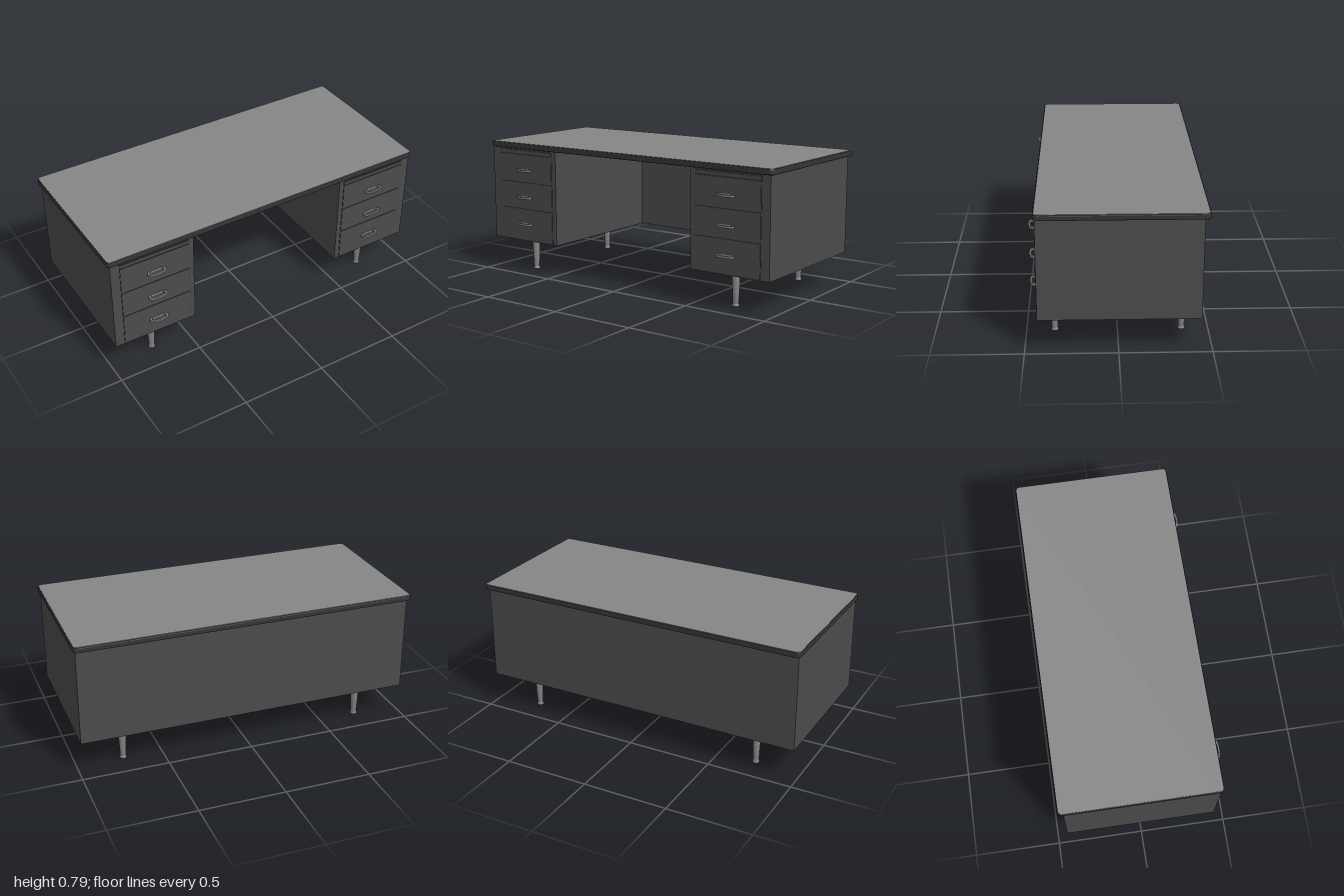
import * as THREE from 'three';

const mat = (name, color) => new THREE.MeshStandardMaterial({ name, color });

// rounded rectangle outline centred on the origin
function roundedRect(w, d, r) {
  const s = new THREE.Shape();
  const x = w / 2 - r, y = d / 2 - r;
  s.absarc(x, y, r, 0, Math.PI / 2);
  s.absarc(-x, y, r, Math.PI / 2, Math.PI);
  s.absarc(-x, -y, r, Math.PI, Math.PI * 1.5);
  s.absarc(x, -y, r, Math.PI * 1.5, Math.PI * 2);
  s.closePath();
  return s;
}

export function createModel() {
  const desk = new THREE.Group();
  desk.name = 'desk';
  const body = mat('charcoal body', 0x4b4b4b);
  const trim = mat('dark trim', 0x343434);
  const surface = mat('grey desktop', 0x868686);
  const metal = mat('brushed metal', 0x808080);

  const add = (name, geo, m, parent = desk) => {
    const mesh = new THREE.Mesh(geo, m);
    mesh.name = name;
    parent.add(mesh);
    return mesh;
  };
  // box given by its minimum and maximum on each axis
  const box = (name, m, x0, x1, y0, y1, z0, z1, parent) => {
    const b = add(name, new THREE.BoxGeometry(x1 - x0, y1 - y0, z1 - z0), m, parent);
    b.position.set((x0 + x1) / 2, (y0 + y1) / 2, (z0 + z1) / 2);
    return b;
  };

  // desktop: dark bevelled edge with a thin lighter surface
  const slab = new THREE.ExtrudeGeometry(roundedRect(1.988, 0.898, 0.018), {
    depth: 0.02, bevelThickness: 0.006, bevelSize: 0.006, bevelSegments: 2, curveSegments: 5,
  });
  slab.rotateX(-Math.PI / 2).translate(0, 0.762, -0.015);
  add('desktopEdge', slab, trim);
  const sheet = new THREE.ExtrudeGeometry(roundedRect(1.99, 0.9, 0.019), {
    depth: 0.003, bevelEnabled: false, curveSegments: 5,
  });
  sheet.rotateX(-Math.PI / 2).translate(0, 0.787, -0.015);
  add('desktopSurface', sheet, surface);

  // full-width back panel
  box('backPanel', body, -0.985, 0.985, 0.19, 0.758, -0.44, -0.42);

  // bow handle outline, bulging forward, with a finger opening
  const bow = new THREE.Shape();
  bow.moveTo(-0.045, 0);
  bow.bezierCurveTo(-0.06, 0.012, -0.06, 0.028, -0.043, 0.035);
  bow.quadraticCurveTo(0, 0.046, 0.043, 0.035);
  bow.bezierCurveTo(0.06, 0.028, 0.06, 0.012, 0.045, 0);
  bow.closePath();
  const opening = new THREE.Path();
  opening.moveTo(-0.036, 0.003);
  opening.lineTo(0.036, 0.003);
  opening.quadraticCurveTo(0.052, 0.024, 0.034, 0.027);
  opening.quadraticCurveTo(0, 0.034, -0.034, 0.027);
  opening.quadraticCurveTo(-0.052, 0.024, -0.036, 0.003);
  bow.holes.push(opening);
  const handleGeo = new THREE.ExtrudeGeometry(bow, {
    depth: 0.008, bevelThickness: 0.002, bevelSize: 0.001, bevelSegments: 1, curveSegments: 8,
  });
  handleGeo.rotateX(Math.PI / 2).translate(0, 0.004, 0);

  // turned leg with a small foot
  const legGeo = new THREE.LatheGeometry([
    [0, 0], [0.016, 0], [0.02, 0.003], [0.02, 0.011], [0.016, 0.014],
    [0.0165, 0.02], [0.024, 0.185], [0, 0.185],
  ].map(([x, y]) => new THREE.Vector2(x, y)), 16);

  for (const side of [-1, 1]) {
    const pedestal = new THREE.Group();
    pedestal.name = side < 0 ? 'rightPedestal' : 'leftPedestal';
    desk.add(pedestal);
    const span = (a, b) => (side > 0 ? [a, b] : [-b, -a]);
    box('cabinet', body, ...span(0.485, 0.985), 0.19, 0.758, -0.42, 0.43, pedestal);

    // dark gaps behind the drawer fronts
    box('drawerGaps', trim, ...span(0.513, 0.932), 0.195, 0.752, 0.425, 0.4312, pedestal);
    box('pullOutBoard', body, ...span(0.516, 0.929), 0.728, 0.744, 0.425, 0.434, pedestal);
    for (const [y0, y1] of [[0.198, 0.386], [0.392, 0.55], [0.556, 0.719]])
      box('drawerFront', body, ...span(0.516, 0.929), y0, y1, 0.425, 0.434, pedestal);

    for (const y of [0.298, 0.462, 0.628])
      add('handle', handleGeo, metal, pedestal).position.set(side * 0.722, y, 0.433);

    // legs with square mounting plates
    for (const z of [0.345, -0.352]) {
      const x = side * 0.728;
      box('legPlate', metal, x - 0.045, x + 0.045, 0.184, 0.19, z - 0.045, z + 0.045, pedestal);
      add('leg', legGeo, metal, pedestal).position.set(x, 0, z);
    }
  }
  return desk;
}
